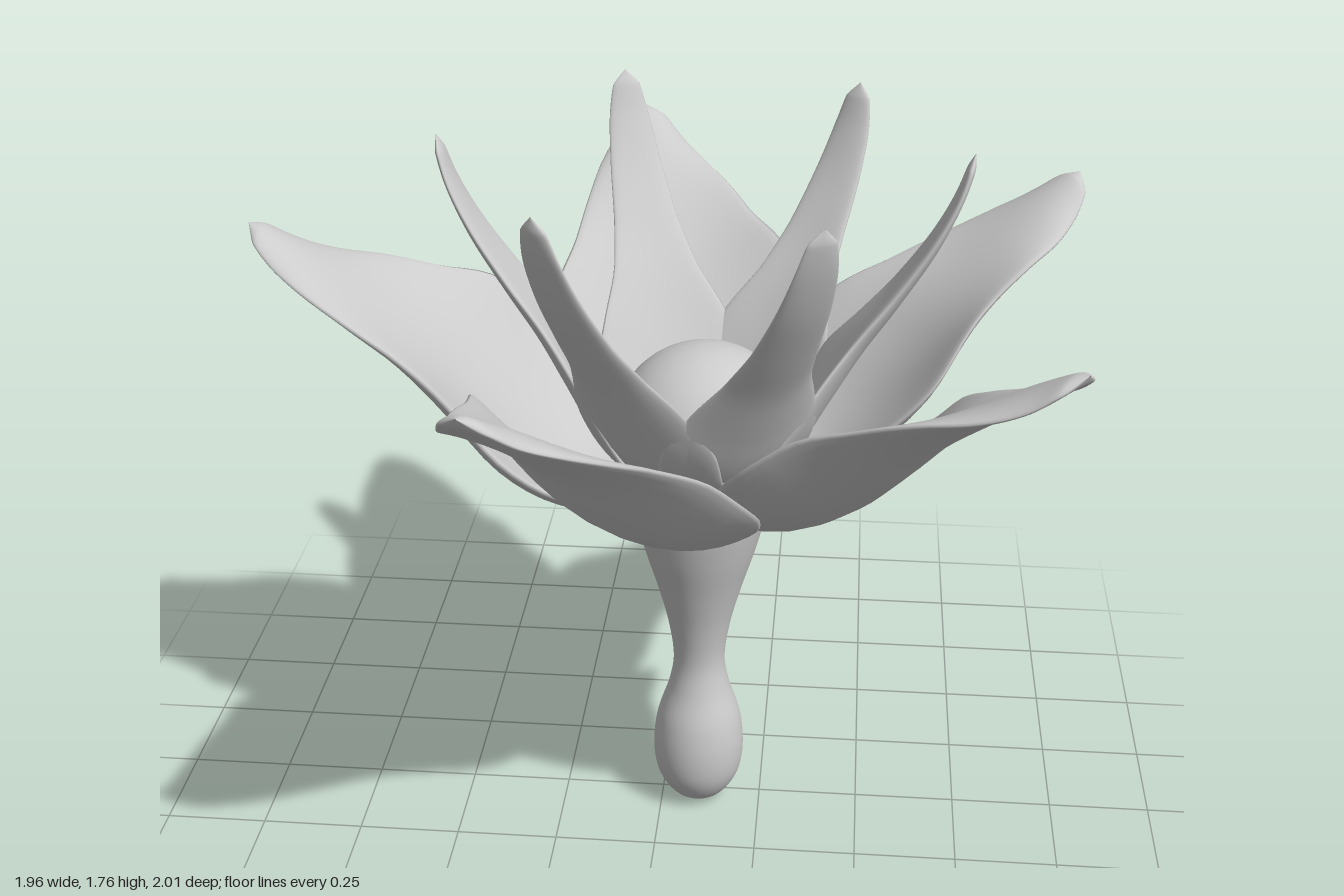
import * as THREE from 'three';

const V = (x, y, z) => new THREE.Vector3(x, y, z);

// Rows run from base to tip:
// [radius, midrib height, half width, rim lift, half thickness, sideways tilt]
const OUTER = [
  [0.06, 0.91, 0.10, 0.00, 0.015, 0.00], [0.18, 0.91, 0.20, 0.04, 0.02, 0.02],
  [0.30, 0.925, 0.29, 0.11, 0.027, 0.04], [0.42, 1.00, 0.335, 0.145, 0.03, 0.05],
  [0.54, 1.115, 0.295, 0.14, 0.03, 0.045], [0.66, 1.24, 0.232, 0.075, 0.028, 0.03],
  [0.78, 1.335, 0.188, 0.03, 0.025, 0.02], [0.90, 1.42, 0.14, -0.01, 0.022, 0.005],
  [0.98, 1.475, 0.095, -0.025, 0.018, 0], [1.03, 1.508, 0.058, -0.015, 0.014, 0],
  [1.055, 1.525, 0.002, 0, 0.001, 0],
];
const INNER = [
  [0.06, 0.93, 0.08, 0.00, 0.015, 0], [0.15, 0.97, 0.17, 0.04, 0.02, 0],
  [0.22, 1.05, 0.19, 0.08, 0.022, 0], [0.29, 1.17, 0.15, 0.07, 0.022, 0],
  [0.36, 1.29, 0.105, 0.04, 0.02, 0], [0.44, 1.41, 0.08, 0.02, 0.018, 0],
  [0.52, 1.54, 0.064, 0.01, 0.015, 0], [0.57, 1.65, 0.05, 0, 0.012, 0],
  [0.592, 1.72, 0.034, 0, 0.01, 0], [0.60, 1.755, 0.001, 0, 0.001, 0],
];

// Cupped petal pointing along +x, swept as closed lens-shaped loops
function petalGeometry(rows, steps = 48, sides = 32) {
  const rib = new THREE.CatmullRomCurve3(rows.map(r => V(r[0], r[1], r[5])));
  const section = new THREE.CatmullRomCurve3(rows.map(r => V(r[2], r[3], r[4])));
  const pos = [], index = [];
  for (let i = 0; i <= steps; i++) {
    // closer loops near the rounded tip
    const t = 1 - Math.pow(1 - i / steps, 1.4);
    const p = rib.getPoint(t), d = rib.getTangent(t), c = section.getPoint(t);
    for (let j = 0; j < sides; j++) {
      const a = j / sides * Math.PI * 2, s = Math.cos(a), h = Math.sin(a) * c.z;
      pos.push(p.x - d.y * h, p.y + d.x * h + c.y * s * s + p.z * s, c.x * s);
      if (i === steps) continue;
      const k = (j + 1) % sides, A = i * sides, B = A + sides;
      index.push(A + j, B + j, B + k, A + j, B + k, A + k);
    }
  }
  const g = new THREE.BufferGeometry();
  g.setAttribute('position', new THREE.Float32BufferAttribute(pos, 3));
  g.setIndex(index);
  g.computeVertexNormals();
  return g;
}

export function createModel() {
  const model = new THREE.Group();
  model.name = 'flower';
  const flower = new THREE.Group();
  flower.name = 'flowerAxis';
  flower.position.set(0.092, 0, 0.02);
  model.add(flower);
  const mat = new THREE.MeshStandardMaterial({ color: 0xcccccc, side: THREE.DoubleSide });

  const add = (name, geo, y = 0, degrees = 0) => {
    const mesh = new THREE.Mesh(geo, mat);
    mesh.name = name;
    mesh.position.y = y;
    mesh.rotation.y = -THREE.MathUtils.degToRad(degrees);
    flower.add(mesh);
    return mesh;
  };

  // Stem with a bulb at its foot
  const stem = new THREE.SplineCurve([
    [0, 0], [0.06, 0.018], [0.102, 0.08], [0.114, 0.16], [0.104, 0.25], [0.076, 0.34], [0.064, 0.42],
    [0.077, 0.52], [0.105, 0.63], [0.138, 0.74], [0.162, 0.84], [0.167, 0.9],
  ].map(p => new THREE.Vector2(...p))).getPoints(60);
  stem.forEach(p => { p.x = Math.max(p.x, 0); });
  add('stem', new THREE.LatheGeometry(stem, 40));

  // Collar under the petals
  const collar = [[0.155, 0.845], [0.168, 0.85], [0.176, 0.868], [0.185, 0.9], [0.17, 0.92], [0, 0.93]];
  add('collar', new THREE.LatheGeometry(collar.map(p => new THREE.Vector2(...p)), 40));

  // Round flower centre
  add('flowerCentre', new THREE.SphereGeometry(0.222, 40, 28), 1.04).position.x = 0.01;

  // Five broad overlapping petals around six narrow upright ones
  const outer = petalGeometry(OUTER), inner = petalGeometry(INNER);
  [-32, 40, 111.5, 181, 257].forEach(a => add('outerPetal', outer, 0, a));
  [3, 62, 121, 180, 247, 305].forEach(a => add('innerPetal', inner, 0, a));

  return model;
}
